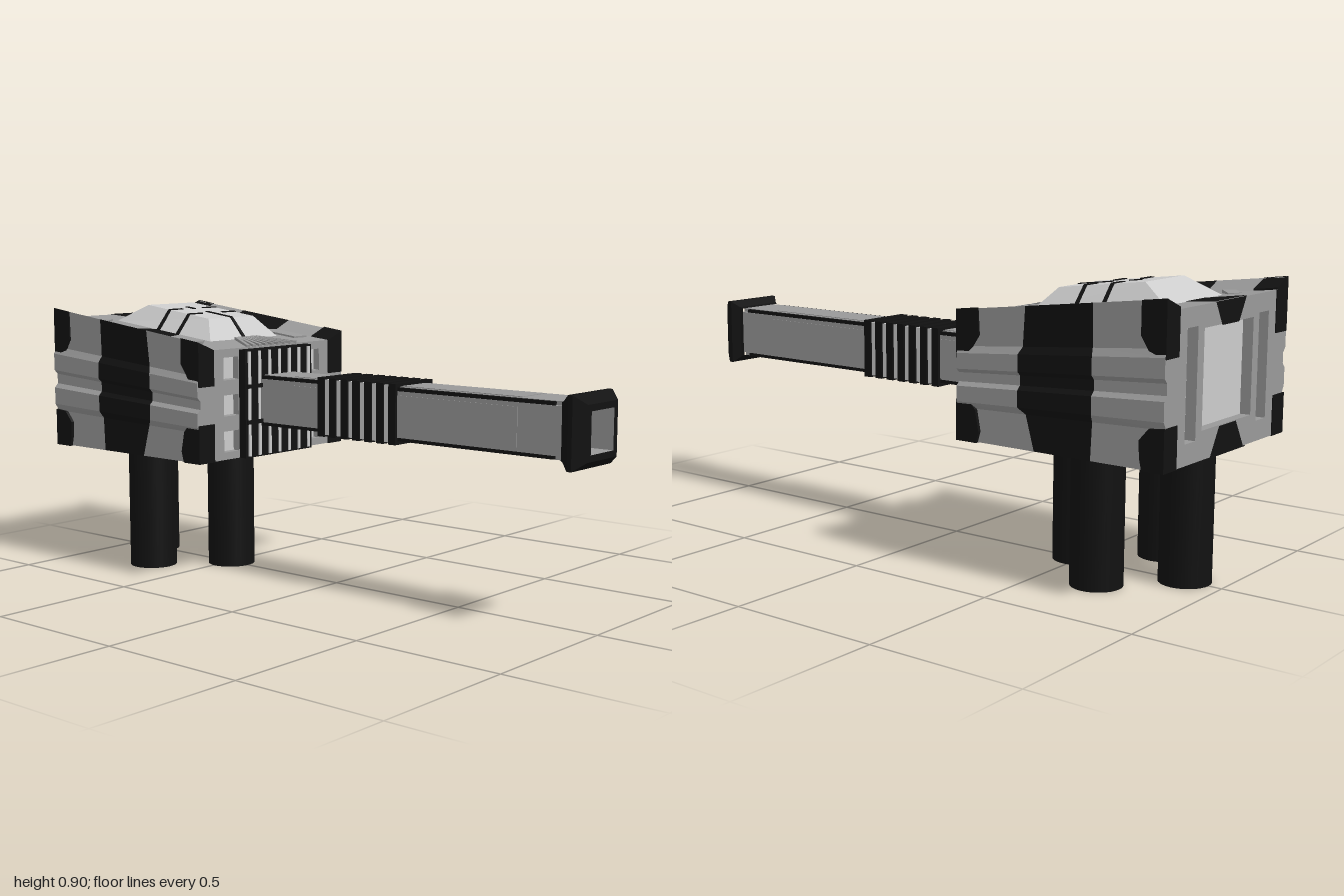
import * as THREE from 'three';

const mat = (color, extra = {}) => new THREE.MeshStandardMaterial({ color, flatShading: true, ...extra });
const GREY = mat(0x999999), LIGHT = mat(0xcccccc), BLACK = mat(0x111111);
const BLACK_THIN = mat(0x111111, { side: THREE.DoubleSide });
const BLACK_ROUND = mat(0x111111, { flatShading: false });

const BASE = 0.415, FRONT = -0.285, BACK = -1;
const height = z => 0.395 + (FRONT - z) * 0.119;      // hull height grows to the back
const hullY = (t, z) => BASE + t * height(z);
const roofY = z => hullY(0.93, z);

// Half hull section: x, height fraction, front and back limit of the dark band
const PROFILE = [
  [0, 0, -0.53, -0.76], [0.345, 0, -0.56, -0.755], [0.345, 0.25, -0.53, -0.76],
  [0.36, 0.3, -0.51, -0.765], [0.36, 0.42, -0.51, -0.765], [0.347, 0.45, -0.51, -0.765],
  [0.347, 0.52, -0.51, -0.765], [0.36, 0.55, -0.51, -0.765], [0.36, 0.67, -0.51, -0.765],
  [0.348, 0.72, -0.52, -0.76], [0.352, 1, -0.53, -0.76], [0.285, 0.93, -0.53, -0.76],
  [0.165, 0.93, -0.565, -0.69], [0, 0.93, -0.565, -0.69],
];

function add(parent, name, geometry, material) {
  const mesh = new THREE.Mesh(geometry, material);
  mesh.name = name;
  parent.add(mesh);
  return mesh;
}

function box(parent, name, [x0, x1], [y0, y1], [z0, z1], material) {
  const g = new THREE.BoxGeometry(x1 - x0, y1 - y0, z1 - z0);
  g.translate((x0 + x1) / 2, (y0 + y1) / 2, (z0 + z1) / 2);
  return add(parent, name, g, material);
}

// Box stretched between two points
function bar(parent, name, a, b, width, thick, material) {
  const p = new THREE.Vector3(...a), q = new THREE.Vector3(...b);
  const mesh = add(parent, name, new THREE.BoxGeometry(width, thick, p.distanceTo(q)), material);
  mesh.position.copy(p).add(q).multiplyScalar(0.5);
  mesh.lookAt(q);
}

function quad(parent, name, corners, material) {
  const g = new THREE.BufferGeometry();
  g.setAttribute('position', new THREE.Float32BufferAttribute(corners.flat(), 3));
  g.setIndex([0, 1, 2, 0, 2, 3]);
  g.computeVertexNormals();
  add(parent, name, g, material);
}

const rect = (x0, x1, y0, y1) => [[x0, y0], [x1, y0], [x1, y1], [x0, y1]].map(p => new THREE.Vector2(...p));

// Strip of half hull between two z limits chosen per profile point
function hullStrip(parent, name, from, to, material) {
  const pos = [], index = [];
  PROFILE.forEach((p, i) => {
    for (const z of [from(p), to(p)]) pos.push(p[0], hullY(p[1], z), z);
    if (i) {
      const a = 2 * i - 2;
      index.push(a, a + 1, a + 2, a + 2, a + 1, a + 3);
    }
  });
  const g = new THREE.BufferGeometry();
  g.setAttribute('position', new THREE.Float32BufferAttribute(pos, 3));
  g.setIndex(index);
  g.computeVertexNormals();
  add(parent, name, g, material);
}

// End wall of the hull with recesses cut through it
function endWall(parent, name, z0, depth, holes) {
  const half = PROFILE.map(([x, t]) => [x - Math.sign(x) * 0.001, t]);
  const outline = [...half, ...half.slice(1, -1).reverse().map(([x, t]) => [-x, t])];
  const shape = new THREE.Shape(outline.map(p => new THREE.Vector2(...p)));
  for (const h of holes) shape.holes.push(new THREE.Path(rect(...h)));
  const g = new THREE.ExtrudeGeometry(shape, { depth, bevelEnabled: false });
  g.translate(0, 0, z0);
  const p = g.attributes.position;
  for (let i = 0; i < p.count; i++) p.setY(i, hullY(p.getY(i), p.getZ(i)));
  g.computeVertexNormals();
  add(parent, name, g, GREY);
}

// Dark corner guard drawn in side outline; its inner top edge dips with the roof lip
function cornerGuard(parent, name, outline) {
  const shape = new THREE.Shape(outline.map(p => new THREE.Vector2(...p)));
  const g = new THREE.ExtrudeGeometry(shape, { depth: 0.071, bevelEnabled: false });
  g.rotateY(Math.PI / 2);
  g.translate(0.285, 0, 0);
  const p = g.attributes.position;
  for (let i = 0; i < p.count; i++) {
    if (p.getX(i) < 0.3 && p.getY(i) > 0.78) p.setY(i, p.getY(i) - 0.029);
  }
  add(parent, name, g, BLACK);
}

function squareLathe(parent, name, points, material) {
  const g = new THREE.LatheGeometry(points.map(([r, z]) => new THREE.Vector2(r * Math.SQRT2, z)), 4);
  g.rotateY(Math.PI / 4);
  g.rotateX(Math.PI / 2);
  add(parent, name, g, material);
}

function buildHull() {
  const hull = new THREE.Group();
  hull.name = 'hull';
  for (const s of [1, -1]) {
    const side = new THREE.Group();
    side.name = s > 0 ? 'leftHull' : 'rightHull';
    side.scale.x = s;
    hull.add(side);
    hullStrip(side, 'frontHull', () => FRONT, p => p[2], GREY);
    hullStrip(side, 'darkBand', p => p[2], p => p[3], BLACK);
    hullStrip(side, 'backHull', p => p[3], () => BACK, GREY);
    cornerGuard(side, 'lowerFrontGuard', [[0.281, 0.414], [0.355, 0.414], [0.365, 0.45], [0.352, 0.515], [0.33, 0.54], [0.281, 0.54]]);
    cornerGuard(side, 'upperFrontGuard', [[0.281, 0.665], [0.33, 0.69], [0.365, 0.74], [0.362, 0.822], [0.281, 0.812]]);
    cornerGuard(side, 'lowerBackGuard', [[0.93, 0.414], [1, 0.414], [1, 0.54], [0.95, 0.535], [0.92, 0.5], [0.922, 0.45]]);
    cornerGuard(side, 'upperBackGuard', [[0.92, 0.79], [0.945, 0.75], [1, 0.73], [1, 0.897], [0.92, 0.887]]);
    // Slim panels on the roof
    for (const [z0, z1] of [[-0.36, -0.48], [-0.82, -0.94]]) {
      bar(side, 'roofPanel', [0.225, roofY(z0), z0], [0.225, roofY(z1), z1], 0.065, 0.012, GREY);
    }
  }
  // Front wall with three recessed lights on each side, back wall with window and slots
  const frontHoles = [], backHoles = [[-0.145, 0.145, 0.18, 0.79]];
  for (const s of [1, -1]) {
    for (const [a, b] of [[0.063, 0.24], [0.367, 0.544], [0.67, 0.86]]) {
      frontHoles.push(s > 0 ? [0.168, 0.238, a, b] : [-0.238, -0.168, a, b]);
    }
    backHoles.push(s > 0 ? [0.18, 0.24, 0.13, 0.81] : [-0.24, -0.18, 0.13, 0.81]);
  }
  endWall(hull, 'frontWall', FRONT - 0.03, 0.03, frontHoles);
  endWall(hull, 'backWall', BACK + 0.003, 0.04, backHoles);
  box(hull, 'frontRecessFloor', [-0.27, 0.27], [0.42, 0.765], [-0.33, -0.31], LIGHT);
  box(hull, 'backRecessFloor', [-0.27, 0.27], [0.43, 0.84], [-0.963, -0.945], LIGHT);
  // Dark wedges on the back, roof and underside
  const zb = BACK - 0.0005;
  quad(hull, 'backTopWedge', [[-0.09, 0.862, zb], [0.09, 0.862, zb], [0.05, 0.792, zb], [-0.05, 0.792, zb]], BLACK_THIN);
  quad(hull, 'backBottomWedge', [[-0.1, 0.415, zb], [0.1, 0.415, zb], [0.05, 0.5, zb], [-0.05, 0.5, zb]], BLACK_THIN);
  const ry = z => roofY(z) + 0.002;
  quad(hull, 'roofWedge', [[-0.1, ry(BACK), BACK], [0.1, ry(BACK), BACK], [0.06, ry(-0.88), -0.88], [-0.06, ry(-0.88), -0.88]], BLACK_THIN);
  quad(hull, 'bellyStrip', [[-0.12, 0.413, FRONT], [0.12, 0.413, FRONT], [0.12, 0.413, BACK], [-0.12, 0.413, BACK]], BLACK_THIN);
  return hull;
}

function buildDome() {
  const dome = new THREE.Group();
  dome.name = 'dome';
  const topY = z => 0.868 + (-0.48 - z) * 0.123;
  const g = new THREE.BoxGeometry(2, 2, 2);
  const p = g.attributes.position;
  for (let i = 0; i < p.count; i++) {
    const up = p.getY(i) > 0, front = p.getZ(i) > 0;
    const z = up ? (front ? -0.48 : -0.78) : (front ? -0.415 : -0.885);
    p.setXYZ(i, p.getX(i) * (up ? 0.11 : 0.167), up ? topY(z) : roofY(z) - 0.003, z);
  }
  add(dome, 'domeShell', g, LIGHT);
  // Dark seams
  bar(dome, 'seam', [0, topY(-0.48), -0.48], [0, topY(-0.6), -0.6], 0.012, 0.006, BLACK);
  bar(dome, 'seam', [0, topY(-0.66), -0.66], [0, topY(-0.7), -0.7], 0.012, 0.006, BLACK);
  bar(dome, 'seam', [0, roofY(-0.415), -0.415], [0, topY(-0.48), -0.48], 0.012, 0.006, BLACK);
  for (const s of [1, -1]) for (const z of [-0.575, -0.67]) {
    bar(dome, 'seam', [s * 0.05, topY(z), z], [s * 0.11, topY(z), z], 0.012, 0.006, BLACK);
    bar(dome, 'seam', [s * 0.11, topY(z), z], [s * 0.167, roofY(z), z], 0.012, 0.006, BLACK);
  }
  // Fan of ribs running down to the grille
  for (let i = -4; i <= 4; i++) {
    bar(dome, 'fanRib', [i * 0.012, roofY(-0.41) + 0.004, -0.41], [i * 0.03, 0.784, FRONT], 0.012, 0.012, GREY);
  }
  return dome;
}

function buildGrille() {
  const grille = new THREE.Group();
  grille.name = 'grille';
  box(grille, 'grillePlate', [-0.165, 0.165], [BASE, 0.777], [-0.3, -0.256], BLACK);
  for (let i = -3; i <= 3; i++) {
    box(grille, 'grilleBar', [i * 0.049 - 0.006, i * 0.049 + 0.006], [0.42, 0.771], [-0.27, -0.252], LIGHT);
  }
  for (const y of [0.535, 0.655]) box(grille, 'grilleCrossbar', [-0.16, 0.16], [y - 0.007, y + 0.007], [-0.27, -0.25], BLACK);
  return grille;
}

function buildBarrel() {
  const barrel = new THREE.Group();
  barrel.name = 'barrel';
  barrel.position.y = 0.6025;
  box(barrel, 'barrelCore', [-0.084, 0.084], [-0.084, 0.084], [-0.28, 0.89], BLACK);
  for (let k = 0; k < 4; k++) {
    const face = new THREE.Group();
    face.name = 'barrelFace';
    face.rotation.z = k * Math.PI / 2;
    barrel.add(face);
    box(face, 'facePlate', [-0.073, 0.073], [0.07, 0.0855], [-0.28, 0.92], GREY);
    box(face, 'facePanel', [-0.06, 0.06], [0.07, 0.0875], [-0.13, 0.765], GREY);
  }
  // Ribbed sleeve
  box(barrel, 'sleeveCore', [-0.09, 0.09], [-0.09, 0.09], [0.002, 0.318], LIGHT);
  for (let i = 0; i < 7; i++) {
    const z = i * 0.0487;
    box(barrel, 'sleeveRib', [-0.096, 0.096], [-0.096, 0.096], [z, z + 0.028], BLACK);
  }
  // Flared square muzzle and its bore
  squareLathe(barrel, 'muzzle', [[0.085, 0.915], [0.09, 0.925], [0.11, 0.95], [0.11, 0.965], [0.083, 1], [0.063, 1]], BLACK);
  squareLathe(barrel, 'bore', [[0.063, 1], [0.063, 0.9], [0, 0.9]], GREY);
  return barrel;
}

export function createModel() {
  const model = new THREE.Group();
  model.name = 'walkerTurret';
  model.add(buildHull(), buildDome(), buildGrille(), buildBarrel());
  // Four legs in a diamond
  for (const [x, z] of [[0, -0.49], [0.193, -0.685], [-0.193, -0.685], [0, -0.875]]) {
    const leg = add(model, 'leg', new THREE.CylinderGeometry(0.081, 0.081, 0.43, 32), BLACK_ROUND);
    leg.position.set(x, 0.215, z);
  }
  return model;
}
